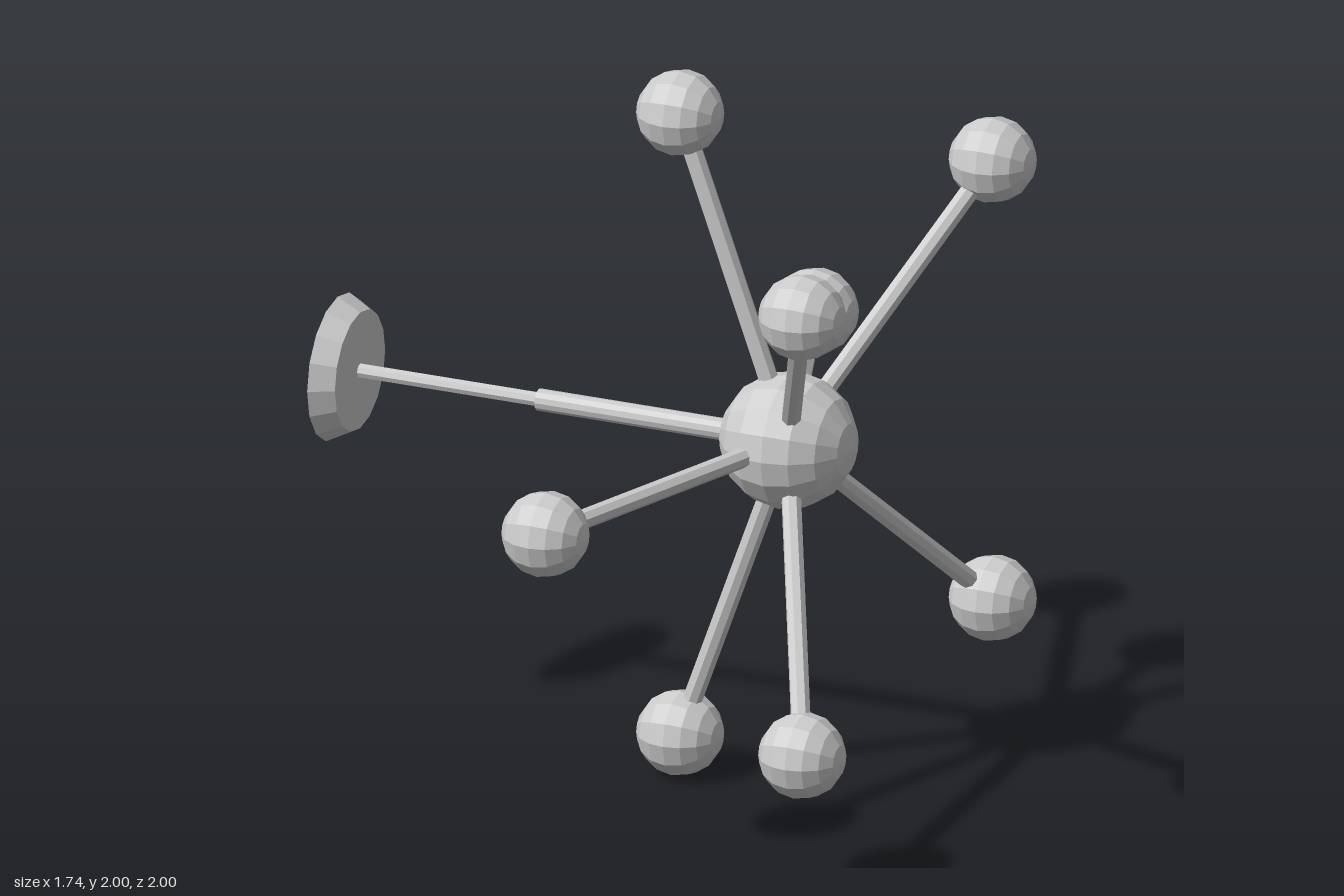
import * as THREE from 'three';

const HUB = new THREE.Vector3(0.435, 1, 0);
const X_AXIS = new THREE.Vector3(1, 0, 0);
const Y_AXIS = new THREE.Vector3(0, 1, 0);

export function createModel() {
  const model = new THREE.Group();
  const material = new THREE.MeshStandardMaterial({ color: 0xcccccc, flatShading: true });

  const add = (name, geometry) => {
    const mesh = new THREE.Mesh(geometry, material);
    mesh.name = name;
    model.add(mesh);
    return mesh;
  };

  // Sphere with its poles along x
  const ball = (name, center, radius, around) => {
    const geometry = new THREE.SphereGeometry(radius, around, 8).rotateZ(-Math.PI / 2);
    add(name, geometry).position.copy(center);
  };

  // Cylinder or cone frustum running from a to b
  const rod = (name, a, b, radiusA, radiusB, sides) => {
    const direction = b.clone().sub(a);
    const geometry = new THREE.CylinderGeometry(radiusB, radiusA, direction.length(), sides);
    const mesh = add(name, geometry);
    mesh.position.copy(a).lerp(b, 0.5);
    mesh.quaternion.setFromUnitVectors(Y_AXIS, direction.normalize());
  };
  const onAxis = (x) => new THREE.Vector3(x, 1, 0);

  ball('hub', HUB, 0.185, 16);

  // Eight arms, leaning alternately towards the foot and away from it
  for (let i = 0; i < 8; i++) {
    const lean = i % 2 ? 0.315 : -0.315;
    const tip = new THREE.Vector3(lean, 0.883, 0)
      .applyAxisAngle(X_AXIS, (i * Math.PI) / 4)
      .add(HUB);
    rod('arm', HUB, tip, 0.027, 0.027, 8);
    ball('armBall', tip, 0.117, 12);
  }

  // Stepped stem ending in a flared foot
  rod('stemSleeve', HUB, onAxis(-0.29), 0.03, 0.03, 12);
  rod('stemRod', onAxis(-0.28), onAxis(-0.82), 0.02, 0.02, 8);
  rod('foot', onAxis(-0.808), onAxis(-0.873), 0.165, 0.2, 16);

  return model;
}
